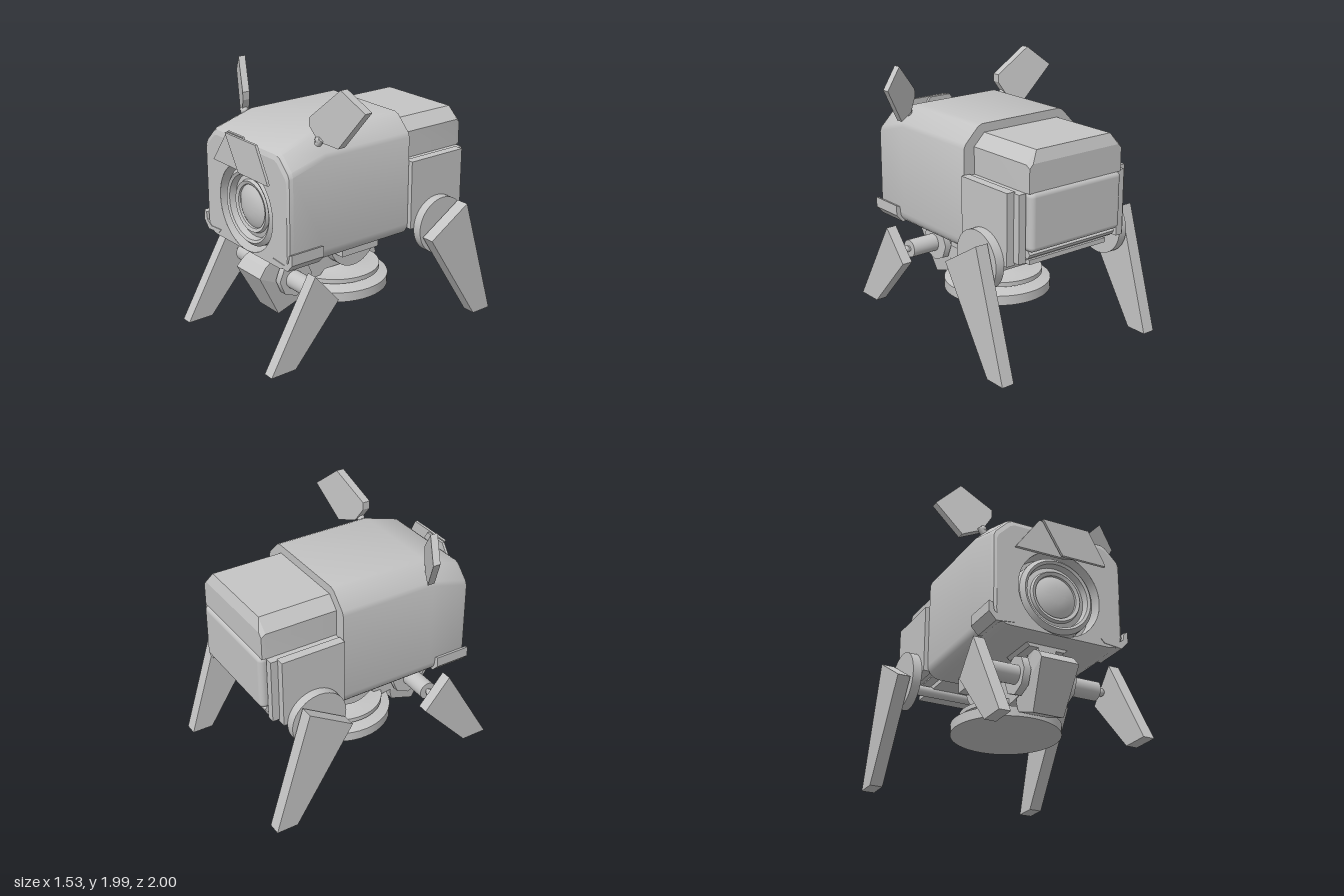
import * as THREE from 'three';
import { toCreasedNormals } from 'three/addons/utils/BufferGeometryUtils.js';
import { RoundedBoxGeometry } from 'three/addons/geometries/RoundedBoxGeometry.js';

const grey = new THREE.MeshStandardMaterial({ color: 0xc4c4c4, side: THREE.DoubleSide });
grey.name = 'plainGrey';

const shapeOf = (pts) => new THREE.Shape(pts.map(([a, b]) => new THREE.Vector2(a, b)));

// Front-view outline [x, y] extruded from z0 to z1
function frontPlate(pts, z0, z1) {
  return new THREE.ExtrudeGeometry(shapeOf(pts), { depth: z1 - z0, bevelEnabled: false }).translate(0, 0, z0);
}
// Side-view outline [z, y] extruded from x0 to x1
function sidePlate(pts, x0, x1) {
  return new THREE.ExtrudeGeometry(shapeOf(pts), { depth: x1 - x0, bevelEnabled: false })
    .rotateY(-Math.PI / 2).translate(x1, 0, 0);
}
const box = (x0, x1, y0, y1, z0, z1) => new THREE.BoxGeometry(x1 - x0, y1 - y0, z1 - z0)
  .translate((x0 + x1) / 2, (y0 + y1) / 2, (z0 + z1) / 2);
// Cylinder along x
const axle = (r, x0, x1, y, z, n = 40) => new THREE.CylinderGeometry(r, r, x1 - x0, n)
  .rotateZ(Math.PI / 2).translate((x0 + x1) / 2, y, z);

// Shell cross-section: bevelled shoulders, rounded bottom corners
function shellOutline(w, top, c) {
  const b = 0.72, r = 0.1, e = 0.02;
  const half = [];
  for (let i = 0; i <= 5; i++) {
    const a = -Math.PI / 2 + (i / 5) * Math.PI / 2;
    half.push([w - r + r * Math.cos(a), b + r + r * Math.sin(a)]);
  }
  half.push([w, top - c - e], [w - e * 0.7, top - c + e * 0.7], [w - c + e * 0.7, top - e * 0.7], [w - c - e, top]);
  return half.concat(half.map(([x, y]) => [-x, y]).reverse());
}

// Joins equal-length outlines along z
function loft(sections) {
  const n = sections[0].pts.length, pos = [], idx = [];
  sections.forEach(({ z, pts }) => pts.forEach(([x, y]) => pos.push(x, y, z)));
  for (let s = 0; s < sections.length - 1; s++) {
    for (let i = 0; i < n; i++) {
      const a = s * n + i, b = s * n + (i + 1) % n;
      idx.push(a, b, b + n, a, b + n, a + n);
    }
  }
  const g = new THREE.BufferGeometry();
  g.setAttribute('position', new THREE.Float32BufferAttribute(pos, 3));
  g.setIndex(idx);
  return toCreasedNormals(g, 0.55);
}

export function createModel() {
  const model = new THREE.Group();
  const add = (name, geometry) => {
    const m = new THREE.Mesh(geometry, grey);
    m.name = name;
    model.add(m);
  };
  // Adds a part made for +x and its mirror on -x
  const addPair = (name, geometry) => {
    const side = new THREE.Mesh(geometry, grey);
    side.name = name + 'Left';
    const g = geometry.index ? geometry.toNonIndexed() : geometry.clone();
    g.scale(-1, 1, 1);
    for (const key of ['position', 'normal']) {
      const a = g.attributes[key].array;
      for (let i = 0; i < a.length; i += 9) {
        for (let k = 0; k < 3; k++) [a[i + 3 + k], a[i + 6 + k]] = [a[i + 6 + k], a[i + 3 + k]];
      }
    }
    const other = new THREE.Mesh(g, grey);
    other.name = name + 'Right';
    model.add(side, other);
  };

  // Main shell, narrowing to the face
  const face = shellOutline(0.495, 1.51, 0.12);
  add('bodyShell', loft([
    { z: -0.305, pts: shellOutline(0.52, 1.655, 0.14) },
    { z: 0.46, pts: shellOutline(0.52, 1.655, 0.14) },
    { z: 0.745, pts: shellOutline(0.52, 1.565, 0.13) },
    { z: 0.772, pts: shellOutline(0.512, 1.545, 0.125) },
    { z: 0.785, pts: face },
  ]));
  const faceShape = shapeOf(face);
  faceShape.holes.push(new THREE.Path().absarc(0, 1.05, 0.328, 0, Math.PI * 2, true));
  add('facePanel', new THREE.ShapeGeometry(faceShape, 32).translate(0, 0, 0.785));
  add('shellBack', new THREE.ShapeGeometry(shapeOf(shellOutline(0.52, 1.655, 0.14))).rotateY(Math.PI).translate(0, 0, -0.305));

  // Recessed eye: socket wall, stepped bezel and domed lens
  const eye = [[0, 0.76], [0.06, 0.757], [0.12, 0.745], [0.162, 0.72], [0.165, 0.735], [0.19, 0.745], [0.2, 0.72],
    [0.235, 0.71], [0.245, 0.76], [0.265, 0.77], [0.295, 0.74], [0.3, 0.63], [0.328, 0.63], [0.328, 0.785]];
  add('eyeLens', toCreasedNormals(new THREE.LatheGeometry(eye.map(([r, z]) => new THREE.Vector2(r, z)), 48), 0.5)
    .rotateX(Math.PI / 2).translate(0, 1.05, 0));

  // Overlapping brow plates
  add('browBack', frontPlate([[-0.36, 1.33], [0.02, 1.33], [0.16, 1.36], [0.02, 1.59], [-0.17, 1.59]], 0.792, 0.812));
  add('browFront', frontPlate([[0, 1.33], [0.355, 1.33], [0.345, 1.36], [0.22, 1.59], [-0.155, 1.59]], 0.822, 0.842));

  // Cheek guards and chin plate
  addPair('cheekGuard', frontPlate([[0.555, 0.87], [0.525, 0.86], [0.515, 0.8], [0.46, 0.765], [0.33, 0.775],
    [0.36, 0.745], [0.5, 0.73], [0.555, 0.79]], 0.51, 0.79));
  add('chinPlate', frontPlate([[-0.21, 0.77], [-0.14, 0.695], [0.14, 0.695], [0.21, 0.77]], 0.3, 0.6));

  // Ears: flat blades swept back towards the outside
  const ear = frontPlate([[0.4, 1.71], [0.46, 1.605], [0.59, 1.57], [0.765, 1.84], [0.605, 1.985], [0.4, 1.77]], 0.455, 0.515);
  const p = ear.attributes.position;
  for (let i = 0; i < p.count; i++) p.setZ(i, p.getZ(i) - 0.53 * (p.getX(i) - 0.4));
  ear.computeVertexNormals();
  addPair('ear', ear);
  addPair('earJoint', new THREE.SphereGeometry(0.03, 16, 10).translate(0.452, 1.615, 0.47));
  addPair('earStem', new THREE.CylinderGeometry(0.02, 0.035, 0.1, 12).rotateZ(-0.8).translate(0.445, 1.59, 0.47));

  // Rear body: chamfered lid over a lower box
  const rear = (w, top, c, z) => ({ z, pts: [[-w, 1.3], [w, 1.3], [w, top - c], [w - c, top], [c - w, top], [-w, top - c]] });
  const lidEnd = rear(0.425, 1.505, 0.03, -0.9);
  add('rearLid', loft([lidEnd, rear(0.43, 1.59, 0.09, -0.868), rear(0.43, 1.59, 0.09, -0.3)]));
  add('rearLidEnd', new THREE.ShapeGeometry(shapeOf(lidEnd.pts)).rotateY(Math.PI).translate(0, 0, -0.9));
  add('rearBox', box(-0.43, 0.43, 0.79, 1.305, -0.81, -0.3));
  add('rearPanel', new RoundedBoxGeometry(0.84, 0.435, 0.18, 4, 0.04).translate(0, 1.09, -0.83));
  add('rearSill', sidePlate([[-0.8, 0.82], [-0.86, 0.82], [-0.88, 0.85], [-0.84, 0.9], [-0.8, 0.9]], -0.4, 0.4));
  add('rearFloor', box(-0.36, 0.36, 0.755, 0.79, -0.83, -0.31));
  addPair('hipInnerPlate', box(0.43, 0.49, 0.8, 1.3, -0.87, -0.31));
  addPair('hipPlate', box(0.48, 0.55, 0.78, 1.31, -0.815, -0.312));

  // Rear legs with round hips
  add('rearAxle', axle(0.04, -0.56, 0.56, 0.74, -0.6, 20));
  addPair('rearHip', axle(0.222, 0.55, 0.62, 0.775, -0.565, 48));
  addPair('rearPin', axle(0.05, 0.6, 0.66, 0.775, -0.565, 20));
  addPair('rearLeg', sidePlate([[-0.36, 0.73], [-0.71, 0.945], [-1, 0], [-0.83, 0]], 0.635, 0.735));

  // Front legs on a stepped axle
  addPair('frontLeg', sidePlate([[0.61, 0.67], [0.4, 0.43], [0.79, 0], [1, 0]], 0.5, 0.585));
  addPair('frontAxle', axle(0.07, 0.1, 0.44, 0.49, 0.52));
  addPair('frontAxleTip', axle(0.022, 0.43, 0.52, 0.49, 0.52, 16));
  addPair('frontBall', new THREE.SphereGeometry(0.032, 16, 12).translate(0.475, 0.49, 0.52));
  addPair('shoulderDisc', axle(0.145, 0.155, 0.21, 0.495, 0.5, 8));

  // Muzzle: tapers towards the bottom
  const muzzle = sidePlate([[0.78, 0.54], [0.72, 0.61], [0.64, 0.655], [0.5, 0.63], [0.38, 0.35], [0.4, 0.27], [0.6, 0.2]], -0.15, 0.15);
  const mp = muzzle.attributes.position;
  for (let i = 0; i < mp.count; i++) {
    const y = mp.getY(i);
    mp.setX(i, mp.getX(i) * (y < 0.55 ? 0.8 + 0.2 * (y - 0.2) / 0.35 : 1 - 1.3 * (y - 0.55)));
  }
  muzzle.computeVertexNormals();
  add('muzzle', muzzle);
  add('muzzleStem', box(-0.07, 0.07, 0.6, 0.7, 0.44, 0.6));

  // Underside arm, swivel and side brackets
  add('arm', sidePlate([[0.56, 0.64], [-0.26, 0.59], [-0.23, 0.455], [0.18, 0.45], [0.28, 0.36], [0.42, 0.38]], -0.14, 0.14));
  const drum = [[0.2, 0.74]];
  for (let i = 0; i <= 20; i++) {
    const a = Math.PI * i / 20;
    drum.push([-0.025 + 0.22 * Math.cos(a), 0.685 - 0.225 * Math.sin(a)]);
  }
  drum.push([-0.25, 0.74]);
  add('swivelDrum', sidePlate(drum, -0.23, 0.23));
  addPair('swivelBracket', box(0.22, 0.31, 0.595, 0.73, -0.2, 0.145));

  // Round dish under the belly
  const dish = [[0, 0.255], [0.41, 0.255], [0.41, 0.33], [0.27, 0.365], [0.27, 0.375], [0.345, 0.375],
    [0.345, 0.41], [0.21, 0.415], [0.15, 0.435], [0, 0.445]];
  add('bellyDish', toCreasedNormals(new THREE.LatheGeometry(dish.map(([r, y]) => new THREE.Vector2(r, y)), 48), 0.5)
    .translate(0, 0, -0.03));
  add('dishStem', new THREE.CylinderGeometry(0.1, 0.1, 0.12, 24).translate(0, 0.47, -0.03));
  return model;
}
